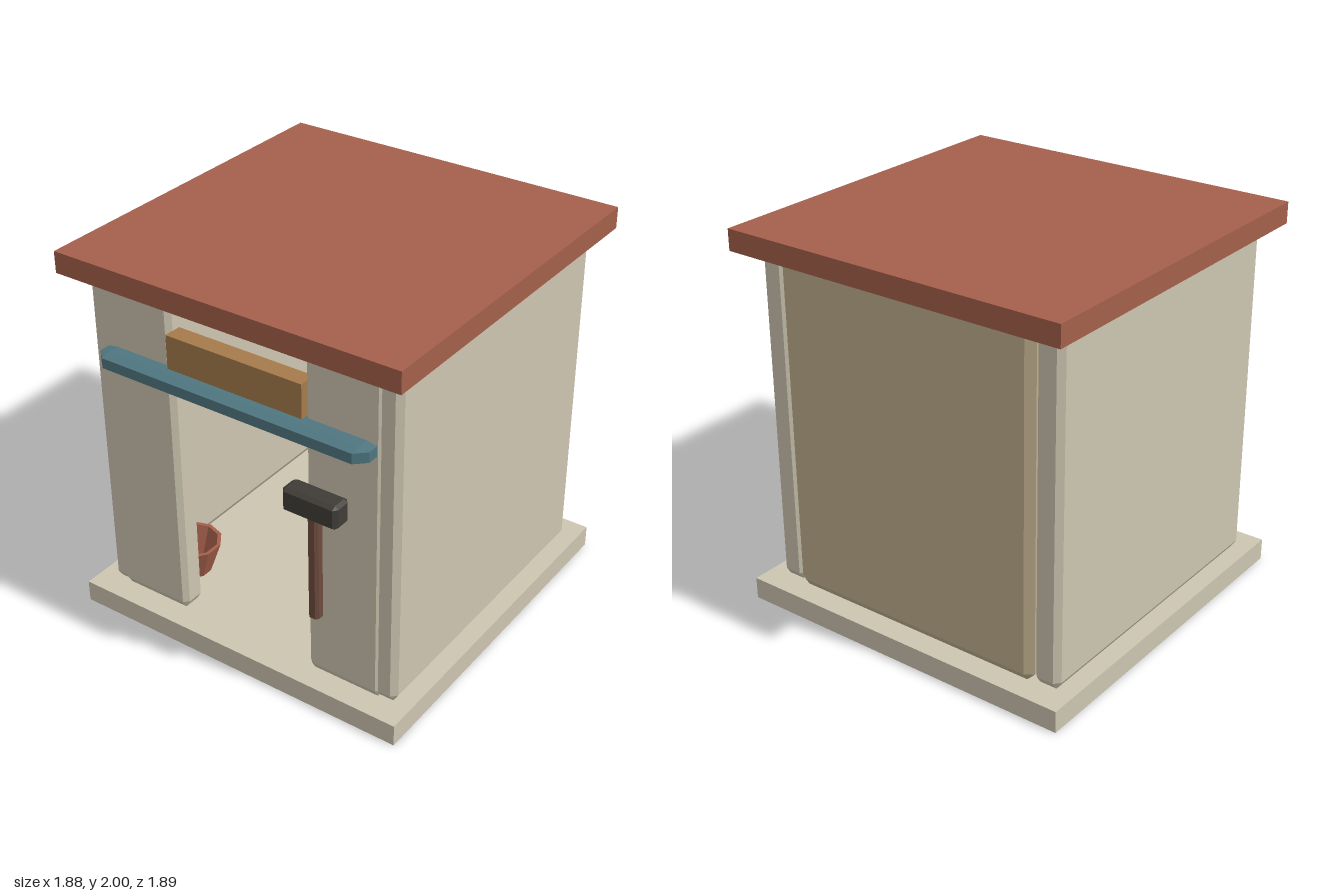
import * as THREE from 'three';
import { ConvexGeometry } from 'three/addons/geometries/ConvexGeometry.js';

const mat = (color, side = THREE.FrontSide) =>
  new THREE.MeshStandardMaterial({ color, flatShading: true, side });
const STONE = mat(0xcdc5b0), TAN = mat(0xbfae8e), ROOF = mat(0xa5604b), WOOD = mat(0xa67b4c),
  TEAL = mat(0x4f7680), IRON = mat(0x403d38), HANDLE = mat(0x6e4c3f),
  CLAY = mat(0xa5604b, THREE.DoubleSide);

export function createModel() {
  const model = new THREE.Group();
  model.name = 'workshopHut';

  const add = (name, geometry, material) => {
    const mesh = new THREE.Mesh(geometry, material);
    mesh.name = name;
    model.add(mesh);
    return mesh;
  };

  // Plain box given by its [min, max] on each axis
  const box = (name, x, y, z, material) => {
    const g = new THREE.BoxGeometry(x[1] - x[0], y[1] - y[0], z[1] - z[0]);
    g.translate((x[0] + x[1]) / 2, (y[0] + y[1]) / 2, (z[0] + z[1]) / 2);
    return add(name, g, material);
  };

  // Box with every edge chamfered; c holds the chamfer along each axis
  const chamferBox = (name, x, y, z, c, material) => {
    const points = [];
    for (const i of [0, 1]) for (const j of [0, 1]) for (const k of [0, 1]) {
      const corner = [x[i], y[j], z[k]];
      const inset = [i, j, k].map((s, a) => corner[a] + (s ? -c[a] : c[a]));
      for (let a = 0; a < 3; a++) {
        const p = [...inset];
        p[a] = corner[a];
        points.push(new THREE.Vector3(...p));
      }
    }
    return add(name, new ConvexGeometry(points), material);
  };

  // Floor slab and flat roof
  box('floorSlab', [-0.94, 0.94], [0, 0.115], [-0.945, 0.945], STONE);
  box('roof', [-0.94, 0.94], [1.89, 2], [-0.945, 0.945], ROOF);

  // Walls: mirrored sides and front panels, plus the back
  const wallY = [0.11, 1.893];
  for (const s of [-1, 1]) {
    const span = (a, b) => (s > 0 ? [a, b] : [-b, -a]);
    const label = s > 0 ? 'left' : 'right';
    chamferBox(label + 'SideWall', span(0.72, 0.865), wallY, [-0.825, 0.825], [0.028, 0.045, 0.03], STONE);
    chamferBox(label + 'FrontPanel', span(0.375, 0.785), wallY, [0.7, 0.835], [0.025, 0.045, 0.025], STONE);
  }
  chamferBox('backWall', [-0.73, 0.73], wallY, [-0.845, -0.7], [0.045, 0.045, 0.028], TAN);

  // Lintel board above the doorway and the shelf in front of it
  box('lintelBoard', [-0.378, 0.378], [1.48, 1.705], [0.765, 0.858], WOOD);
  chamferBox('shelf', [-0.755, 0.755], [1.457, 1.53], [0.78, 0.945], [0.055, 0.01, 0.052], TEAL);

  // Hammer hanging on the front panel
  chamferBox('hammerHead', [0.318, 0.618], [1.077, 1.2], [0.835, 0.948], [0.018, 0.014, 0.022], IRON);
  chamferBox('hammerHandle', [0.44, 0.498], [0.508, 1.1], [0.865, 0.923], [0.014, 0.008, 0.014], HANDLE);

  // Tapered bucket inside, behind the right front panel
  const profile = [[0, 0], [0.1, 0], [0.16, 0.175], [0.14, 0.175], [0.085, 0.02], [0, 0.02]];
  const bucket = add('bucket', new THREE.LatheGeometry(profile.map(p => new THREE.Vector2(...p)), 10), CLAY);
  bucket.position.set(-0.58, 0.115, 0.54);

  return model;
}
